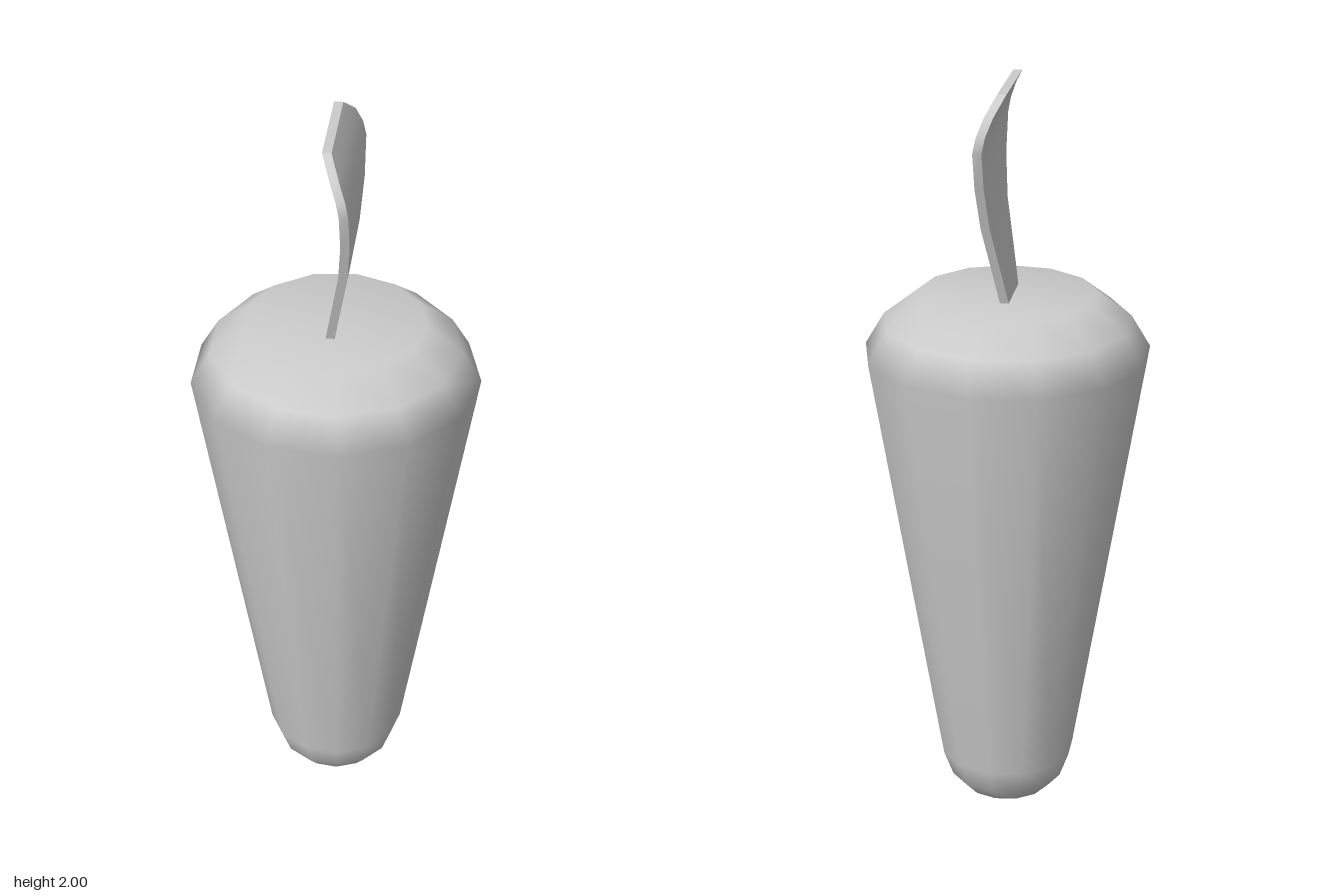
import * as THREE from 'three';

const material = new THREE.MeshStandardMaterial({ color: 0xcccccc });

// Tapered 13-sided root, one corner pointing to +x
function createRoot() {
  const profile = [
    [0, 0], [0.07, 0], [0.12, 0.018], [0.157, 0.06], [0.183, 0.13],
    [0.375, 1.29], [0.325, 1.375], [0.235, 1.445], [0, 1.446],
  ].map(([r, y]) => new THREE.Vector2(r, y));
  const root = new THREE.Mesh(new THREE.LatheGeometry(profile, 13, Math.PI / 2), material);
  root.name = 'root';
  root.position.x = -0.005;
  return root;
}

// Thin curved leaf: a box whose rows follow [y, centre x, half width]
function createLeaf() {
  const rows = [
    [1.43, -0.013, 0.077], [1.55, 0.008, 0.113], [1.66, 0.028, 0.146],
    [1.77, 0.037, 0.18], [1.87, 0.037, 0.213], [1.91, 0.029, 0.208],
    [1.955, 0.012, 0.188], [2.0, -0.012, 0.13],
  ];
  const last = rows.length - 1;
  const geometry = new THREE.BoxGeometry(0.023, 1, 2, 1, last, 1);
  const p = geometry.attributes.position;
  for (let i = 0; i < p.count; i++) {
    const [y, x, halfWidth] = rows[Math.round((p.getY(i) + 0.5) * last)];
    p.setXYZ(i, p.getX(i) + x, y, p.getZ(i) * halfWidth);
  }
  geometry.computeVertexNormals();
  const leaf = new THREE.Mesh(geometry, material);
  leaf.name = 'leaf';
  return leaf;
}

export function createModel() {
  const carrot = new THREE.Group();
  carrot.name = 'carrot';
  carrot.add(createRoot(), createLeaf());
  return carrot;
}
